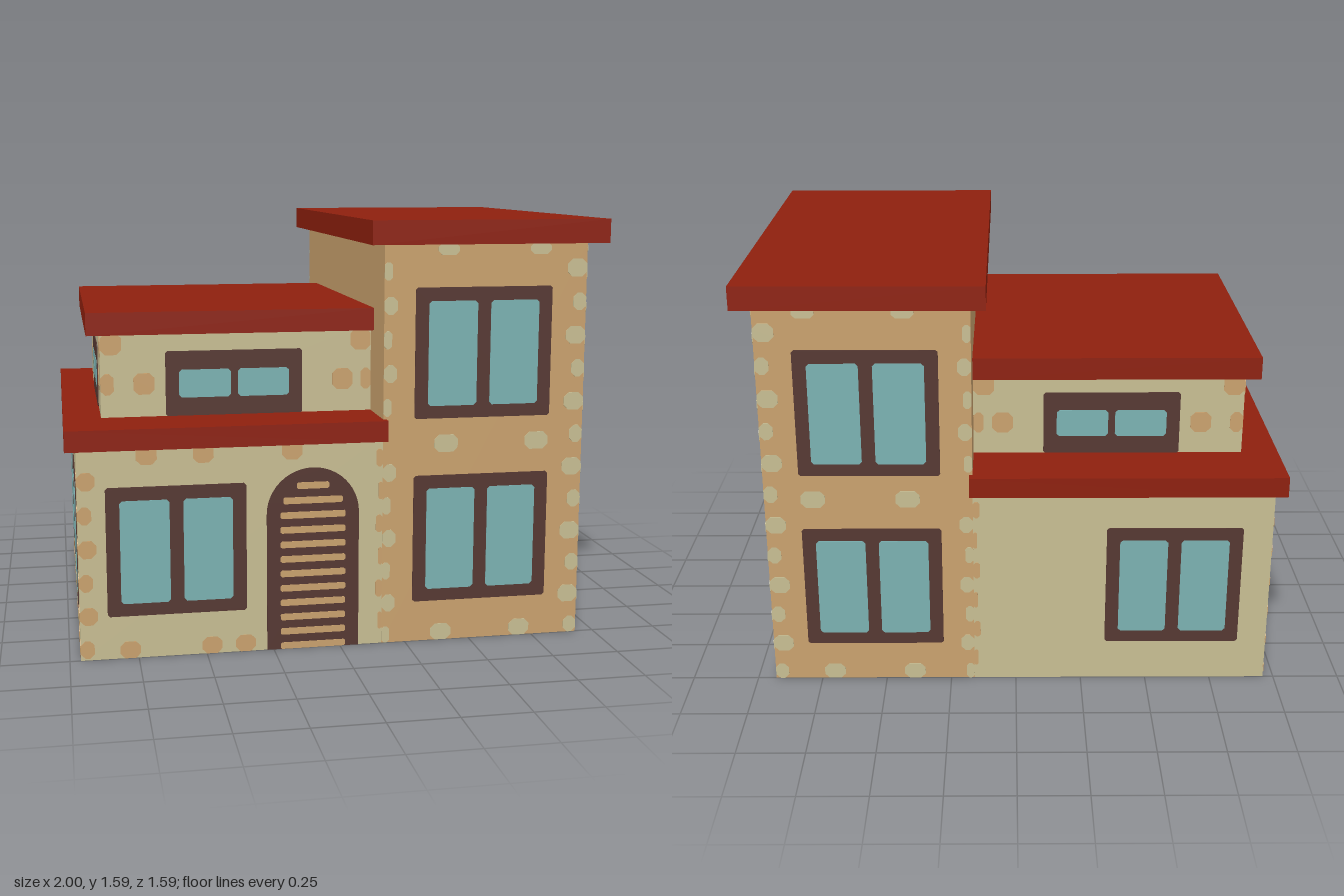
import * as THREE from 'three';

const mat = (name, color, side = THREE.FrontSide) => {
  const m = new THREE.MeshStandardMaterial({ color, side });
  m.name = name;
  return m;
};

export function createModel() {
  const house = new THREE.Group();
  house.name = 'house';
  const tan = mat('tan plaster', 0xcaa26e, THREE.DoubleSide);
  const beige = mat('beige plaster', 0xc8be93, THREE.DoubleSide);
  const red = mat('red roof', 0x8e200e);
  const brown = mat('brown frame', 0x563832);
  const glass = mat('window glass', 0x7bb2b2);

  const add = (parent, name, geo, material, x = 0, y = 0, z = 0) => {
    const m = new THREE.Mesh(geo, material);
    m.name = name;
    m.position.set(x, y, z);
    parent.add(m);
    return m;
  };

  // Thin plate with clipped corners, straddling the wall so it shows on both sides
  const plate = (parent, name, material, x0, x1, y0, y1, depth, c) => {
    const s = new THREE.Shape([
      [x0 + c, y0], [x1 - c, y0], [x1, y0 + c], [x1, y1 - c],
      [x1 - c, y1], [x0 + c, y1], [x0, y1 - c], [x0, y0 + c],
    ].map(p => new THREE.Vector2(...p)));
    const g = new THREE.ExtrudeGeometry(s, { depth, bevelEnabled: false });
    return add(parent, name, g, material, 0, 0, -depth / 2);
  };

  // Open wall in local coordinates: u to the viewer's right, v up
  const wall = (name, material, u0, u1, v0, v1, angle, dist, stoneMat) => {
    const g = new THREE.Group();
    g.name = name;
    g.rotation.y = angle;
    g.position.set(Math.sin(angle) * dist, 0, Math.cos(angle) * dist);
    house.add(g);
    add(g, name + 'Surface', new THREE.PlaneGeometry(u1 - u0, v1 - v0), material, (u0 + u1) / 2, (v0 + v1) / 2);
    // Stone patch clipped to the wall outline
    const stone = (u, v, w = 0.08, h = 0.066) => {
      const a = Math.max(u0, u - w / 2), b = Math.min(u1, u + w / 2);
      const lo = Math.max(v0, v - h / 2), hi = Math.min(v1, v + h / 2);
      if (b - a > 0.01 && hi - lo > 0.01) {
        plate(g, 'stone', stoneMat, a, b, lo, hi, 0.004, Math.min(0.018, (b - a) / 3, (hi - lo) / 3));
      }
    };
    // Column of alternating wide and narrow stones
    const column = (u, from, to, wide = 0.15, narrow = 0.1) => {
      for (let i = 0, v = from; v <= to; v += 0.125, i++) stone(u, v, i % 2 ? wide : narrow);
    };
    return { g, stone, column };
  };

  // Two-pane window
  const windowAt = (w, u, y0, y1, width = 0.52, small = false) => {
    const g = new THREE.Group();
    g.name = 'window';
    w.g.add(g);
    plate(g, 'windowFrame', brown, u - width / 2, u + width / 2, y0, y1, 0.006, 0.008);
    const low = small ? 0.07 : 0.047, high = small ? 0.07 : 0.05;
    const inner = small ? 0.013 : 0.025, outer = width / 2 - 0.05;
    for (const [a, b] of [[-outer, -inner], [inner, outer]]) {
      plate(g, 'pane', glass, u + a, u + b, y0 + low, y1 - high, 0.009, 0.01);
    }
  };

  const H = Math.PI / 2;
  const split = 0.16;

  // Tower walls
  const rows = [[0.155, 0.64], [0.855, 1.34]];
  for (const s of [1, -1]) {
    const [u0, u1] = s > 0 ? [split, 0.93] : [-0.93, -split];
    const w = wall(s > 0 ? 'towerFront' : 'towerBack', tan, u0, u1, 0, 1.5, s > 0 ? 0 : Math.PI, 0.75, beige);
    for (const [a, b] of rows) windowAt(w, s * 0.5375, a, b);
    w.column(s * 0.93, 0.03, 1.46);
    w.column(s * split, 0.03, 0.75, 0.1, 0.06);
    w.column(s * split, 0.9, 1.46, 0.1, 0.06);
    for (const x of [0.4, 0.75]) w.stone(s * x, 0.76, 0.09);
    for (const x of [0.39, 0.7]) w.stone(s * x, 0.03);
    for (const x of [0.4, 0.75]) w.stone(s * x, 1.49);
  }
  const right = wall('towerRight', tan, -0.75, 0.75, 0, 1.5, H, 0.93, beige);
  for (const u of [-0.37, 0.383]) for (const [a, b] of rows) windowAt(right, u, a, b, 0.515);
  for (const [a, b] of [[0.145, 0.66], [0.885, 1.4]]) {
    right.column(0.01, a, b, 0.15, 0.09);
    for (const u of [-0.75, 0.75]) right.column(u, a, b, 0.18, 0.12);
  }
  for (const u of [-0.575, -0.24, 0.03, 0.51]) right.stone(u, 0.76);
  for (const u of [-0.5, -0.22, 0.27, 0.55]) right.stone(u, 0.03);
  for (const u of [-0.73, -0.24, 0.01, 0.26, 0.73]) right.stone(u, 1.485, 0.09);

  // Tower wall above the lower roofs, notched around the upper storey
  const notch = new THREE.Shape([
    [-0.75, 0.8], [-0.535, 0.8], [-0.535, 1.2], [0.535, 1.2],
    [0.535, 0.8], [0.75, 0.8], [0.75, 1.5], [-0.75, 1.5],
  ].map(p => new THREE.Vector2(...p)));
  add(house, 'towerLeft', new THREE.ShapeGeometry(notch), tan, split).rotation.y = -H;

  // Ground storey walls
  const front = wall('lowFront', beige, -0.96, split, 0, 0.8, 0, 0.75, tan);
  windowAt(front, -0.605, 0.16, 0.64, 0.51);
  front.column(-0.96, 0.04, 0.7, 0.13, 0.1);
  for (const x of [-0.71, -0.505, -0.18]) front.stone(x, 0.755, 0.075, 0.07);
  for (const x of [-0.78, -0.48, -0.355]) front.stone(x, 0.03, 0.075);
  front.column(split, 0.09, 0.78, 0.05, 0.03);
  const back = wall('lowBack', beige, -split, 0.96, 0, 0.8, Math.PI, 0.75, tan);
  windowAt(back, 0.595, 0.16, 0.64, 0.51);
  back.column(-split, 0.09, 0.78, 0.05, 0.03);
  const left = wall('lowLeft', beige, -0.75, 0.75, 0, 0.8, -H, 0.96, tan);
  for (const u of [-0.377, 0.36]) windowAt(left, u, 0.155, 0.64, 0.515);
  for (const u of [-0.75, 0.75]) left.column(u, 0.04, 0.7, 0.13, 0.1);
  for (const u of [-0.55, -0.25, 0.25, 0.52]) left.stone(u, 0.03);
  for (const u of [-0.5, -0.2, 0.05, 0.45]) left.stone(u, 0.745);

  // Upper storey walls
  for (const s of [1, -1]) {
    const [u0, u1] = s > 0 ? [-0.86, split] : [-split, 0.86];
    const w = wall(s > 0 ? 'upperFront' : 'upperBack', beige, u0, u1, 0.8, 1.2, s > 0 ? 0 : Math.PI, 0.535, tan);
    windowAt(w, s * -0.3625, 0.855, 1.1, 0.515, true);
    for (const [x, y] of [[-0.82, 1.13], [-0.85, 0.98], [-0.7, 0.98], [0.05, 0.98], [0.12, 1.13], [0.16, 0.98]]) {
      w.stone(s * x, y, 0.078, 0.08);
    }
  }
  const upperLeft = wall('upperLeft', beige, -0.535, 0.535, 0.8, 1.2, -H, 0.86, tan);
  windowAt(upperLeft, 0.015, 0.855, 1.1, 0.53, true);
  for (const u of [-0.5, -0.36, 0.38, 0.5]) upperLeft.stone(u, Math.abs(u) > 0.45 ? 1.12 : 0.98, 0.078, 0.08);

  // Arched door with pale slats
  const door = new THREE.Group();
  door.name = 'door';
  front.g.add(door);
  const cx = -0.1025, r = 0.1725, spring = 0.515;
  const arch = new THREE.Shape();
  arch.moveTo(cx - r, 0);
  arch.lineTo(cx + r, 0);
  arch.lineTo(cx + r, spring);
  arch.absarc(cx, spring, r, 0, Math.PI);
  add(door, 'doorPanel', new THREE.ExtrudeGeometry(arch, { depth: 0.006, bevelEnabled: false, curveSegments: 12 }), brown, 0, 0, -0.003);
  for (let i = 0; i < 12; i++) {
    const y = 0.013 + i * 0.0553;
    const over = Math.max(0, y - spring);
    const half = Math.sqrt(0.122 ** 2 - over ** 2);
    plate(door, 'doorSlat', tan, cx - half, cx + half, y - 0.0125, y + 0.0125, 0.009, 0.005);
  }

  // Roof slabs; the low one wraps around the upper storey
  const slab = (name, x0, x1, z, y0, y1) =>
    add(house, name, new THREE.BoxGeometry(x1 - x0, y1 - y0, z * 2), red, (x0 + x1) / 2, (y0 + y1) / 2, 0);
  slab('towerRoof', 0.105, 1, 0.793, 1.497, 1.585);
  slab('upperRoof', -0.91, split, 0.585, 1.168, 1.252);
  const rim = new THREE.Shape([
    [-1, -0.785], [0.172, -0.785], [0.172, -0.535], [-0.86, -0.535],
    [-0.86, 0.535], [0.172, 0.535], [0.172, 0.785], [-1, 0.785],
  ].map(p => new THREE.Vector2(...p)));
  const rimGeo = new THREE.ExtrudeGeometry(rim, { depth: 0.077, bevelEnabled: false });
  rimGeo.rotateX(-H);
  add(house, 'lowRoof', rimGeo, red, 0, 0.78, 0);

  return house;
}
